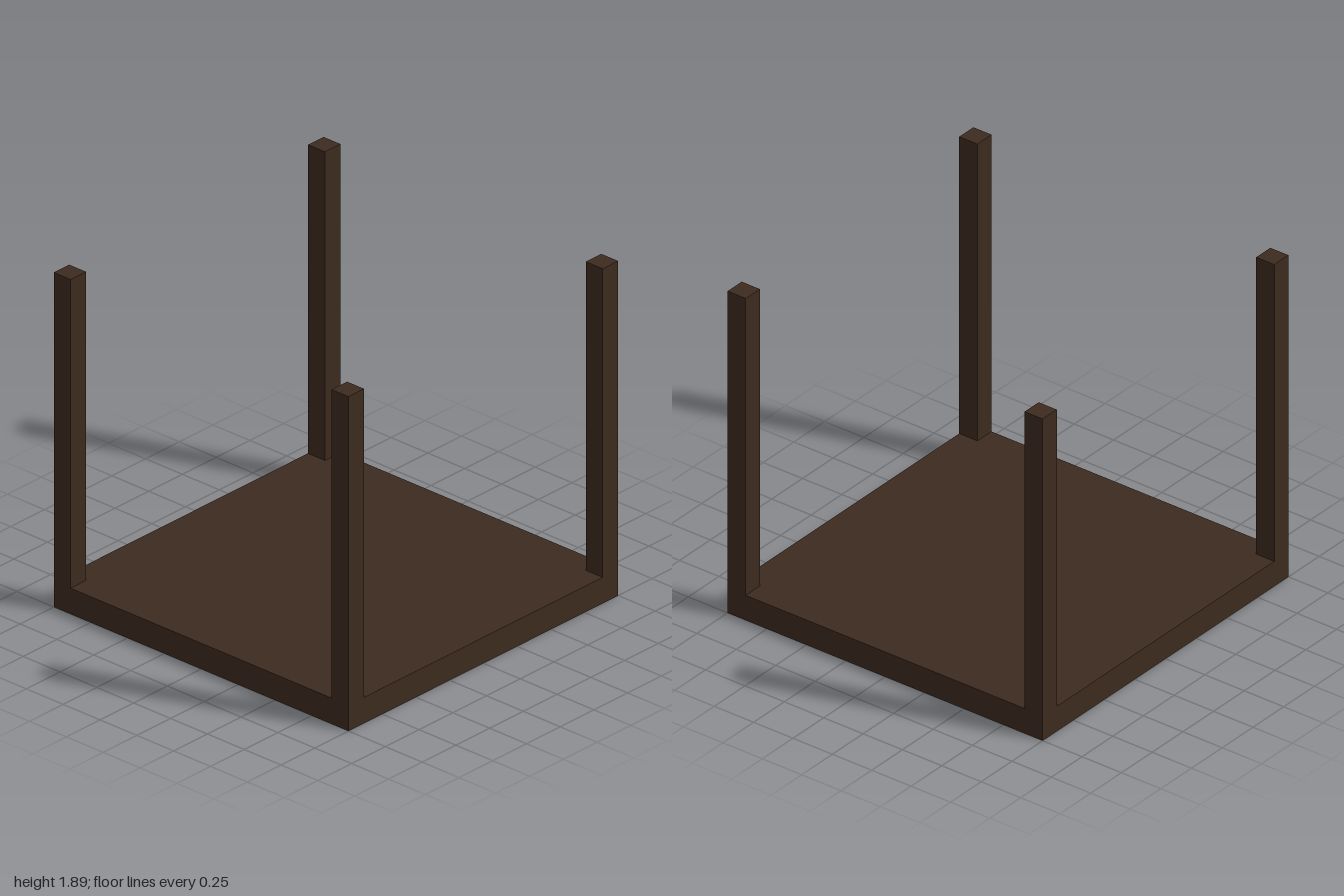
import * as THREE from 'three';

const SIZE = 2, HEIGHT = 1.886, SLAB = 0.146, POST = 0.115;

export function createModel() {
  const model = new THREE.Group();
  model.name = 'upturnedTable';
  const darkWood = new THREE.MeshStandardMaterial({ color: 0x3d2b1f });
  darkWood.name = 'darkWood';

  // Box resting on the given height
  const addBox = (name, w, h, d, x, y, z) => {
    const mesh = new THREE.Mesh(new THREE.BoxGeometry(w, h, d), darkWood);
    mesh.name = name;
    mesh.position.set(x, y + h / 2, z);
    model.add(mesh);
  };

  // Square slab on the ground
  addBox('slab', SIZE, SLAB, SIZE, 0, 0, 0);

  // Four square posts, flush with the slab corners
  const offset = (SIZE - POST) / 2;
  for (const [zName, sz] of [['front', 1], ['back', -1]]) {
    for (const [xName, sx] of [['Left', 1], ['Right', -1]]) {
      addBox(`${zName}${xName}Post`, POST, HEIGHT - SLAB, POST, sx * offset, SLAB, sz * offset);
    }
  }
  return model;
}
